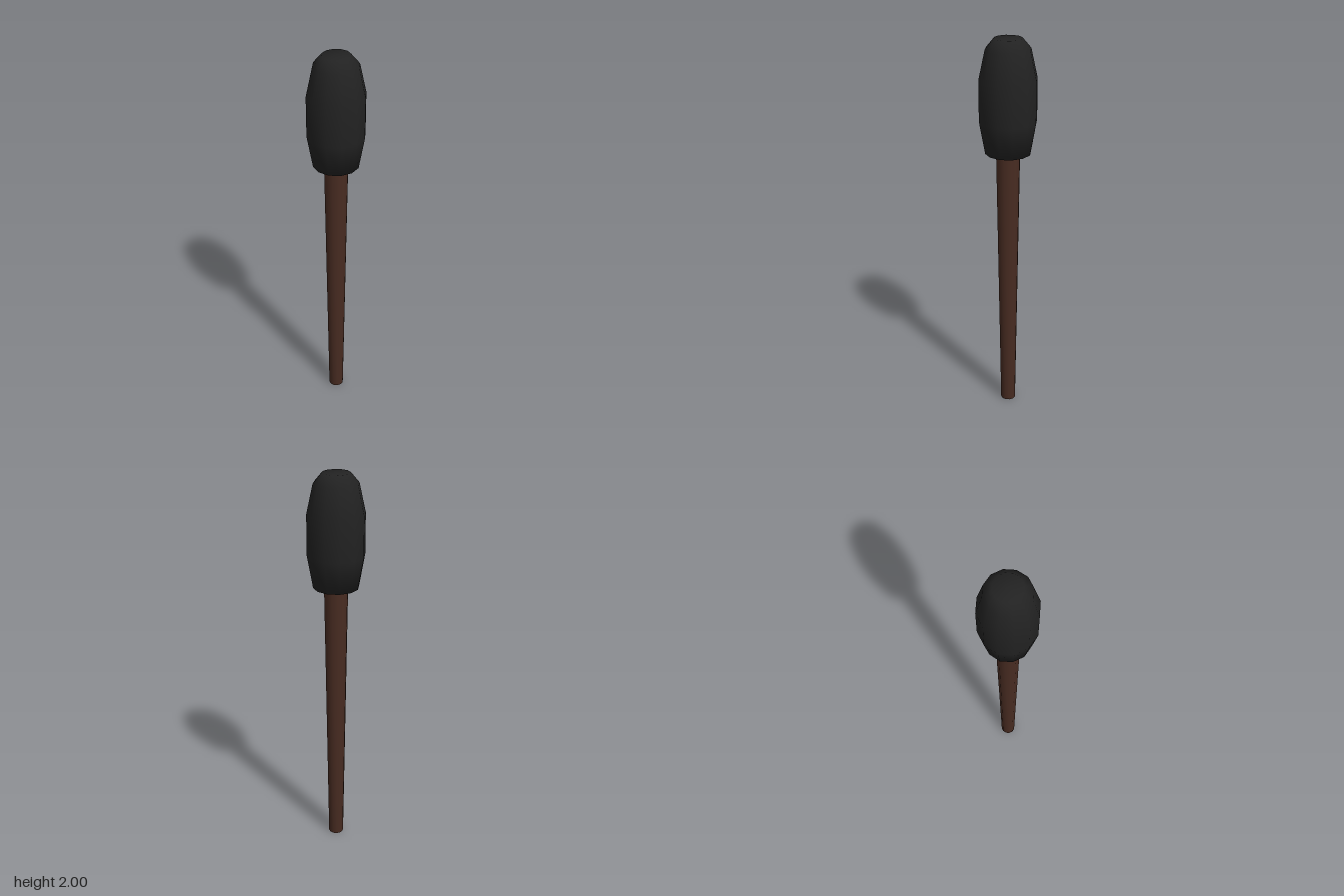
import * as THREE from 'three';

const SIDES = 12;

// Closed, smooth-shaded turned part from [radius, height] pairs, bottom to top
function turned(name, profile, material) {
  const points = profile.map(([r, y]) => new THREE.Vector2(r, y));
  const mesh = new THREE.Mesh(new THREE.LatheGeometry(points, SIDES), material);
  mesh.name = name;
  return mesh;
}

export function createModel() {
  const wood = new THREE.MeshStandardMaterial({ color: 0x472b21 });
  wood.name = 'dark brown wood';
  const black = new THREE.MeshStandardMaterial({ color: 0x222222 });
  black.name = 'soft black';

  const group = new THREE.Group();
  group.name = 'stick with head';

  // Slender stalk, narrowing towards the ground
  group.add(turned('stalk', [[0, 0], [0.039, 0], [0.06, 1.44], [0, 1.44]], wood));

  // Barrel-shaped head with a tapered crown
  group.add(turned('head', [
    [0, 1.435], [0.114, 1.435], [0.143, 1.6], [0.143, 1.805],
    [0.111, 1.95], [0.069, 2], [0, 2],
  ], black));

  return group;
}
